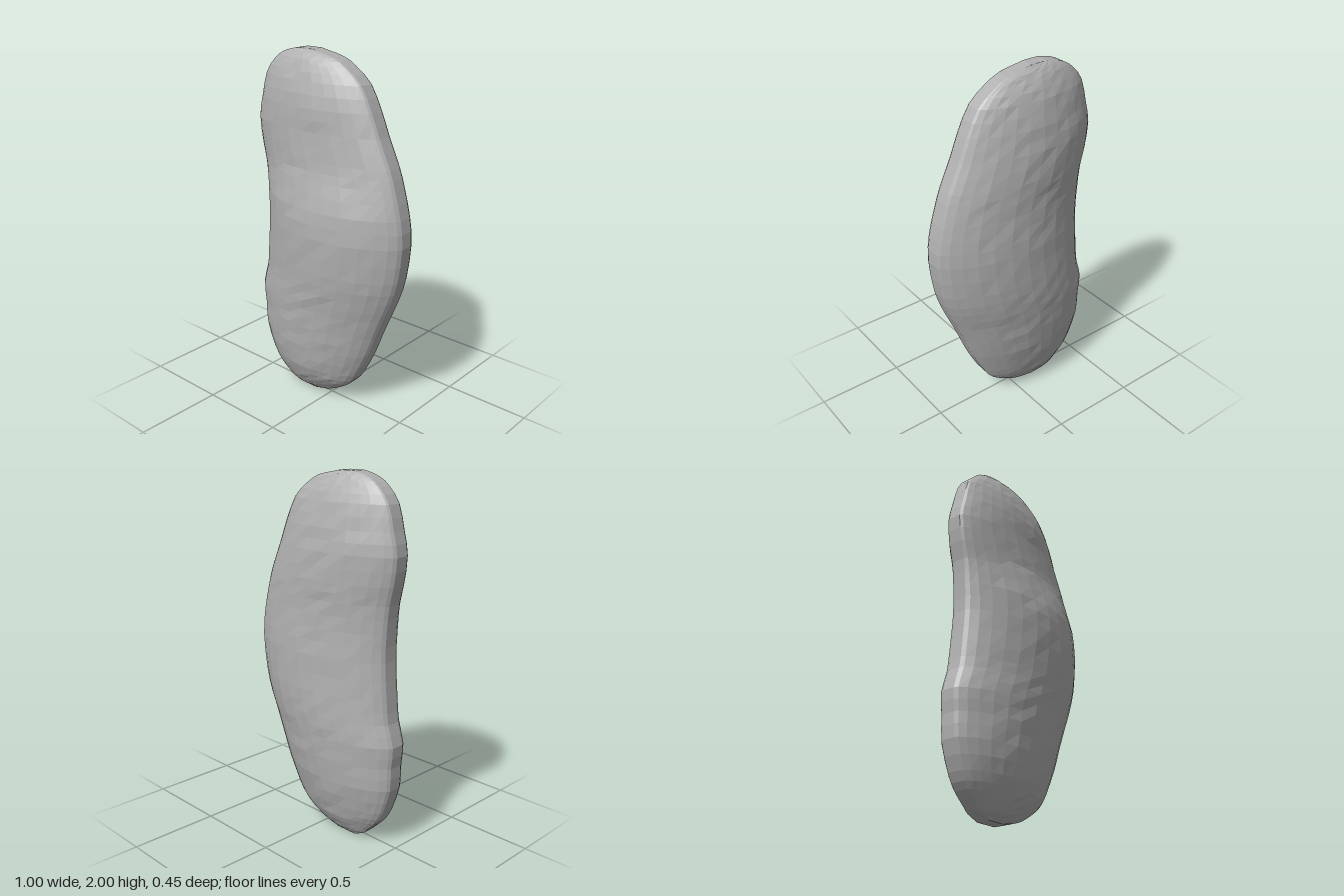
import * as THREE from 'three';

const RIM_FRONT = 0.03, RIM_BACK = -0.045;

// height, left edge x, right edge x, front z, back z
const SECTIONS = [
  [0.00, -0.23, -0.10, 0.03, -0.045],
  [0.03, -0.30, 0.00, 0.065, -0.075],
  [0.06, -0.33, 0.06, 0.09, -0.095],
  [0.12, -0.39, 0.15, 0.125, -0.125],
  [0.20, -0.44, 0.21, 0.155, -0.15],
  [0.35, -0.49, 0.285, 0.18, -0.185],
  [0.48, -0.495, 0.335, 0.19, -0.20],
  [0.60, -0.505, 0.385, 0.20, -0.21],
  [0.72, -0.47, 0.435, 0.21, -0.22],
  [0.85, -0.455, 0.475, 0.22, -0.22],
  [1.05, -0.44, 0.50, 0.225, -0.215],
  [1.20, -0.445, 0.485, 0.215, -0.205],
  [1.35, -0.46, 0.445, 0.18, -0.20],
  [1.45, -0.485, 0.41, 0.165, -0.20],
  [1.60, -0.505, 0.34, 0.155, -0.19],
  [1.72, -0.48, 0.29, 0.15, -0.17],
  [1.85, -0.445, 0.22, 0.12, -0.14],
  [1.93, -0.38, 0.12, 0.09, -0.105],
  [1.97, -0.32, 0.04, 0.065, -0.08],
  [1.99, -0.26, -0.06, 0.045, -0.06],
  [2.00, -0.21, -0.11, 0.03, -0.045],
];

function makeRandom(seed) {
  return () => {
    seed = (seed * 16807) % 2147483647;
    return seed / 2147483647;
  };
}

// Lofts the horizontal sections into one closed, faceted body
function beanGeometry(rows, cols) {
  const random = makeRandom(77);
  const curve = (pick) => new THREE.CatmullRomCurve3(SECTIONS.map(pick), false, 'catmullrom', 0.5);
  const leftFront = curve(([y, l, r, f]) => new THREE.Vector3(l, y, f));
  const rightBack = curve(([y, l, r, f, b]) => new THREE.Vector3(r, y, b));
  const positions = [], indices = [];
  const ring = 2 * (cols + 1);

  for (let i = 0; i <= rows; i++) {
    const a = leftFront.getPoint(i / rows), b = rightBack.getPoint(i / rows);
    const mid = (a.x + b.x) / 2, half = (b.x - a.x) / 2;
    for (let k = 0; k < ring; k++) {
      const front = k <= cols;
      const angle = Math.PI * (front ? k : ring - 1 - k) / cols;
      const swell = Math.pow(Math.max(0, Math.sin(angle)), 1.4);
      const rim = front ? RIM_FRONT : RIM_BACK;
      const bump = (random() - 0.5) * 0.006 * swell;
      const z = rim + ((front ? a.z : b.z) - rim) * swell + bump;
      positions.push(mid + half * Math.cos(angle), Math.min(2, Math.max(0, a.y)), z);
    }
  }
  for (let i = 0; i < rows; i++) {
    for (let k = 0; k < ring; k++) {
      const p = i * ring + k, q = i * ring + (k + 1) % ring;
      indices.push(p, p + ring, q, q, p + ring, q + ring);
    }
  }
  // Small flat ends
  const top = rows * ring;
  for (let k = 1; k < ring - 1; k++) {
    indices.push(0, k, k + 1, top, top + k + 1, top + k);
  }

  const indexed = new THREE.BufferGeometry();
  indexed.setAttribute('position', new THREE.Float32BufferAttribute(positions, 3));
  indexed.setIndex(indices);
  const geometry = indexed.toNonIndexed();
  geometry.computeVertexNormals();
  return geometry;
}

export function createModel() {
  const group = new THREE.Group();
  group.name = 'bean';
  const grey = new THREE.MeshStandardMaterial({ color: 0xb0b0b0 });
  grey.name = 'grey';
  const body = new THREE.Mesh(beanGeometry(40, 14), grey);
  body.name = 'beanBody';
  group.add(body);
  return group;
}
